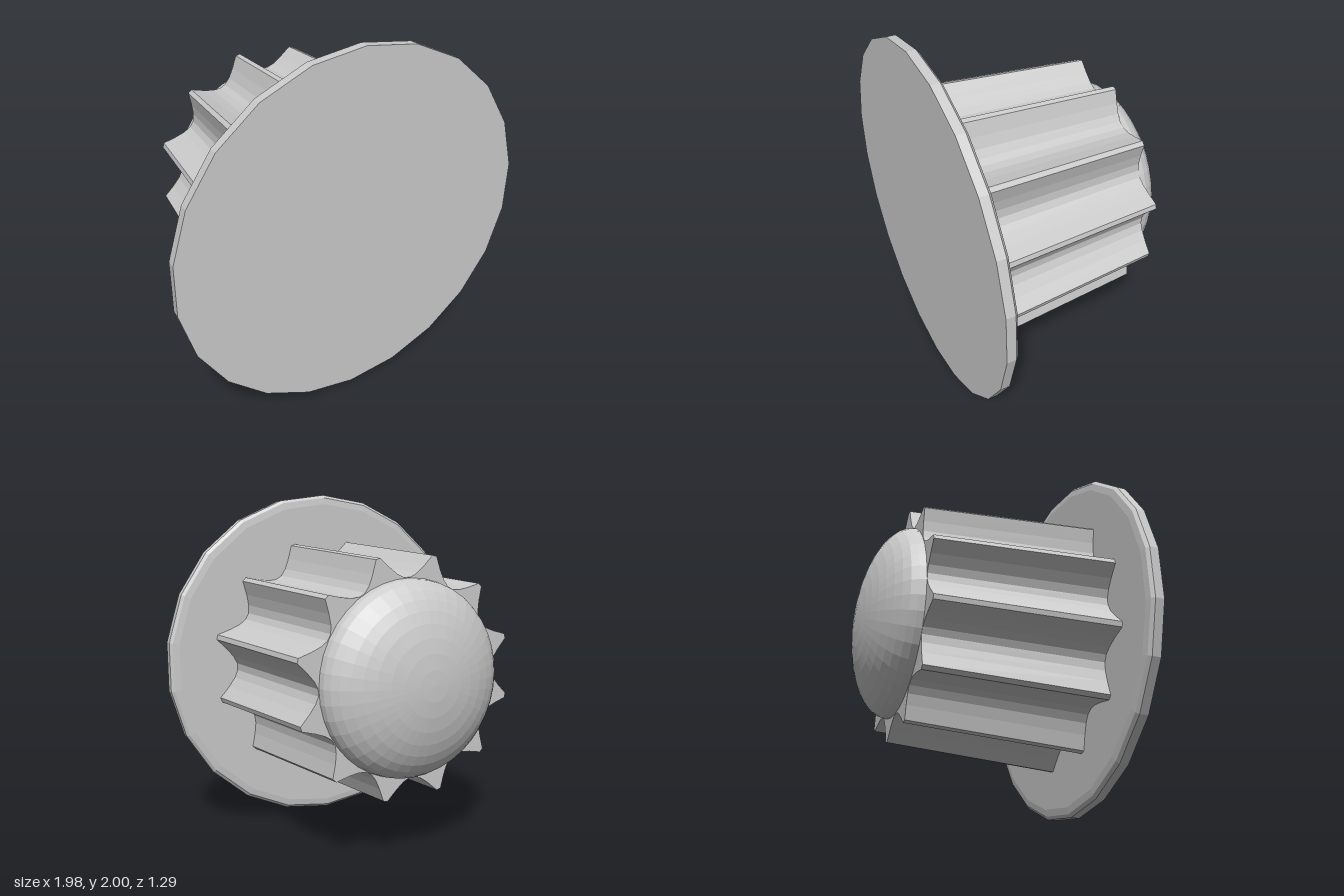
import * as THREE from 'three';

const RIDGES = 12;
const OFFSET = THREE.MathUtils.degToRad(12.9);
const TIP = 0.73, VALLEY = 0.59;      // radii at the plate end
const Z_PLATE = 0.58, Z_TOP = -0.41;
const TAPER = 0.904;                  // scale at the domed end

const material = new THREE.MeshStandardMaterial({ color: 0xcccccc, flatShading: true });

// Solid of revolution around z from [radius, z] pairs of ascending z
function turned(name, profile, segments) {
  const points = profile.map(([r, z]) => new THREE.Vector2(r, z));
  const mesh = new THREE.Mesh(new THREE.LatheGeometry(points, segments).rotateX(Math.PI / 2), material);
  mesh.name = name;
  return mesh;
}

// Grip outline: narrow tips joined by concave scallops
function gripShape() {
  const points = [];
  const step = (Math.PI * 2) / RIDGES, halfTip = 0.02, facets = 7;
  for (let i = 0; i < RIDGES; i++) {
    const middle = OFFSET + (i + 0.5) * step;
    for (let j = 0; j <= facets; j++) {
      const t = (j / facets) * 2 - 1;
      const a = middle + t * (step / 2 - halfTip);
      const r = VALLEY + (TIP - VALLEY) * t * t;
      points.push(new THREE.Vector2(r * Math.cos(a), r * Math.sin(a)));
    }
  }
  return new THREE.Shape(points);
}

function makeGrip() {
  const length = Z_PLATE - Z_TOP;
  const geometry = new THREE.ExtrudeGeometry(gripShape(), { depth: length, bevelEnabled: false });
  // Taper towards the domed end
  const p = geometry.attributes.position;
  for (let i = 0; i < p.count; i++) {
    const s = THREE.MathUtils.lerp(TAPER, 1, p.getZ(i) / length);
    p.setXYZ(i, p.getX(i) * s, p.getY(i) * s, p.getZ(i) + Z_TOP);
  }
  geometry.computeVertexNormals();
  const mesh = new THREE.Mesh(geometry, material);
  mesh.name = 'flutedGrip';
  return mesh;
}

export function createModel() {
  const group = new THREE.Group();
  group.name = 'knob';

  // Flange plate with a softened rear edge
  group.add(turned('basePlate', [
    [0, 0.575], [0.945, 0.575], [0.983, 0.58], [1, 0.595], [1, 0.645], [0, 0.645],
  ], 22));

  group.add(makeGrip());

  // Domed cap: half ellipse
  const dome = [];
  for (let i = 0; i <= 10; i++) {
    const a = (i / 10) * Math.PI / 2;
    dome.push([0.532 * Math.sin(a), Z_TOP - 0.235 * Math.cos(a)]);
  }
  group.add(turned('domeCap', dome, 40));

  // Stand on y = 0
  group.children.forEach((part) => { part.position.y = 1; });
  return group;
}
